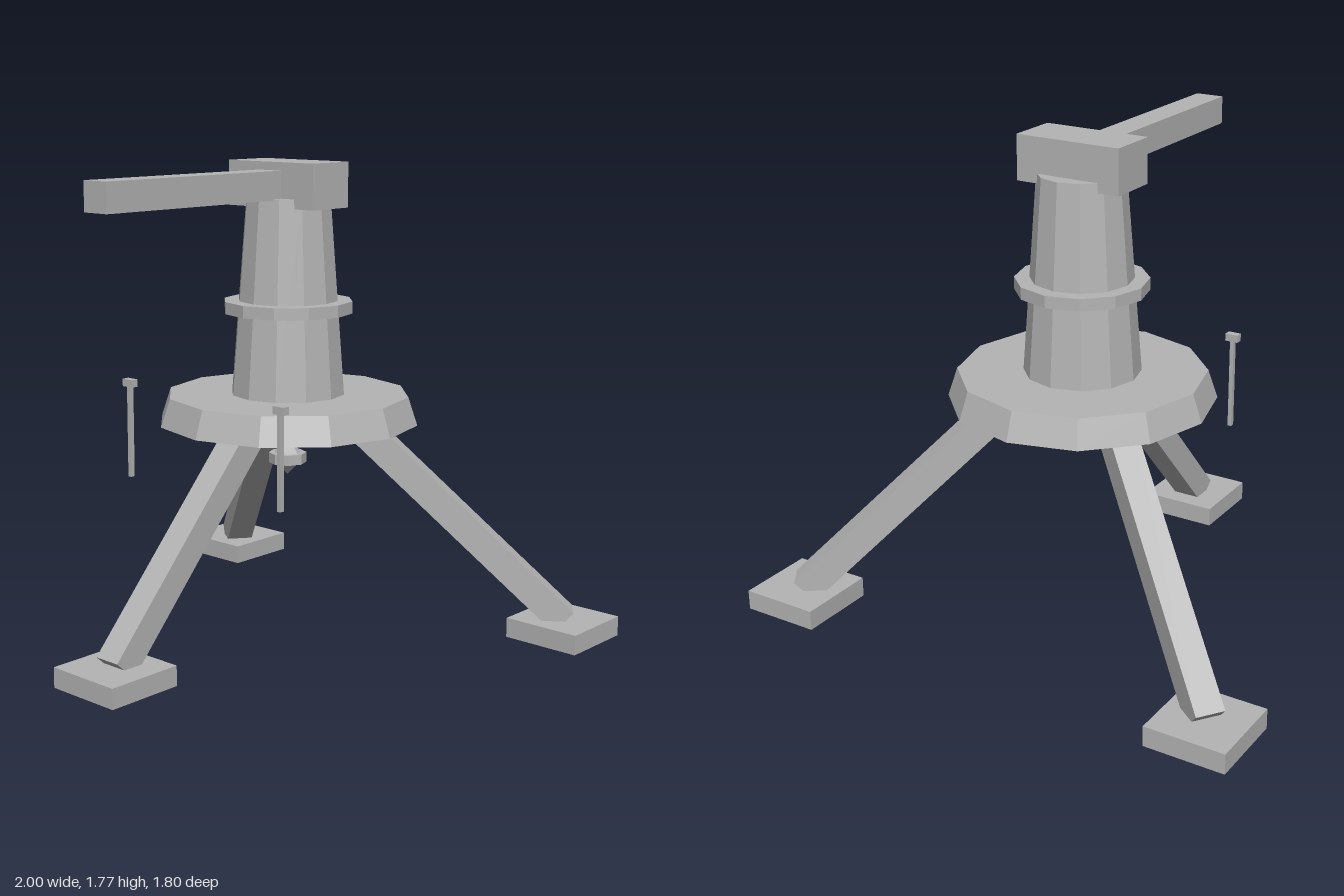
import * as THREE from 'three';

export function createModel() {
  const model = new THREE.Group();
  model.name = 'tripodInstrument';

  const grey = new THREE.MeshStandardMaterial({ color: 0xb4b4b4, flatShading: true });
  grey.name = 'plain grey';
  const openGrey = grey.clone();
  openGrey.side = THREE.DoubleSide;

  const CZ = -0.14; // z of the central axis

  function add(name, geometry, x, y, z, material = grey) {
    const mesh = new THREE.Mesh(geometry, material);
    mesh.name = name;
    mesh.position.set(x, y, z);
    model.add(mesh);
    return mesh;
  }
  // Box from its limits
  function box(name, x0, x1, y0, y1, z0, z1) {
    return add(name, new THREE.BoxGeometry(x1 - x0, y1 - y0, z1 - z0),
      (x0 + x1) / 2, (y0 + y1) / 2, (z0 + z1) / 2);
  }
  // Upright cone or cylinder on the central axis
  function turned(name, rTop, rBottom, y0, y1, sides = 12) {
    return add(name, new THREE.CylinderGeometry(rTop, rBottom, y1 - y0, sides), 0, (y0 + y1) / 2, CZ);
  }

  // Platform, tower and collar
  turned('platform', 0.455, 0.49, 0.81, 0.915);
  turned('tower', 0.158, 0.214, 0.915, 1.645);
  turned('towerCollar', 0.242, 0.242, 1.22, 1.265);

  // Head and the long arm pointing forward
  box('head', -0.205, 0.205, 1.61, 1.775, -0.235, -0.04);
  box('arm', -0.055, 0.055, 1.64, 1.745, -0.05, 0.8);

  // Feet are boxes open underneath
  const footGeometry = new THREE.BoxGeometry(0.3, 0.075, 0.3);
  const faces = Array.from(footGeometry.index.array);
  faces.splice(18, 6);
  footGeometry.setIndex(faces);
  footGeometry.clearGroups();

  // Three legs, each with a foot and a hexagonal mount
  const legs = [
    ['front', 0, 0.75, 0, 0.077],
    ['left', 0.85, -0.75, 0.217, -0.285],
    ['right', -0.85, -0.75, -0.217, -0.285],
  ];
  for (const [side, fx, fz, tx, tz] of legs) {
    add(side + 'Foot', footGeometry, fx, 0.0375, fz, openGrey);

    const bottom = new THREE.Vector3(fx, 0.07, fz);
    const top = new THREE.Vector3(tx, 0.81, tz);
    const along = top.clone().sub(bottom);
    const length = along.length();
    along.normalize();
    const across = new THREE.Vector3(0, 1, 0).cross(along).normalize();
    const normal = across.clone().cross(along);
    const centre = bottom.add(top).multiplyScalar(0.5);
    const leg = add(side + 'Leg', new THREE.BoxGeometry(0.106, length, 0.106), centre.x, centre.y, centre.z);
    leg.quaternion.setFromRotationMatrix(new THREE.Matrix4().makeBasis(across, along, normal));

    const mount = add(side + 'LegMount', new THREE.CylinderGeometry(0.089, 0.089, 0.05, 6), tx, 0.788, tz);
    mount.rotation.y = Math.PI / 6;
  }

  // Bracket under the platform
  box('bracketBar', -0.145, 0.145, 0.735, 0.748, CZ - 0.012, CZ + 0.012);
  for (const s of [-1, 1]) {
    add('bracketUpright', new THREE.BoxGeometry(0.012, 0.07, 0.024), s * 0.139, 0.776, CZ);
  }

  // Hanging plumb bob
  turned('bobCap', 0.03, 0.03, 0.73, 0.75, 8);
  turned('bobNeck', 0.016, 0.05, 0.685, 0.73, 8);
  turned('bobCollar', 0.071, 0.071, 0.647, 0.685, 8);
  turned('bobPoint', 0.045, 0, 0.6, 0.647, 8);

  // Free-standing pins at the front
  for (const s of [-1, 1]) {
    add('pinRod', new THREE.BoxGeometry(0.015, 0.345, 0.018), s * 0.375, 0.783, 0.315);
    add('pinHead', new THREE.BoxGeometry(0.05, 0.028, 0.028), s * 0.375, 0.966, 0.315);
  }

  return model;
}
